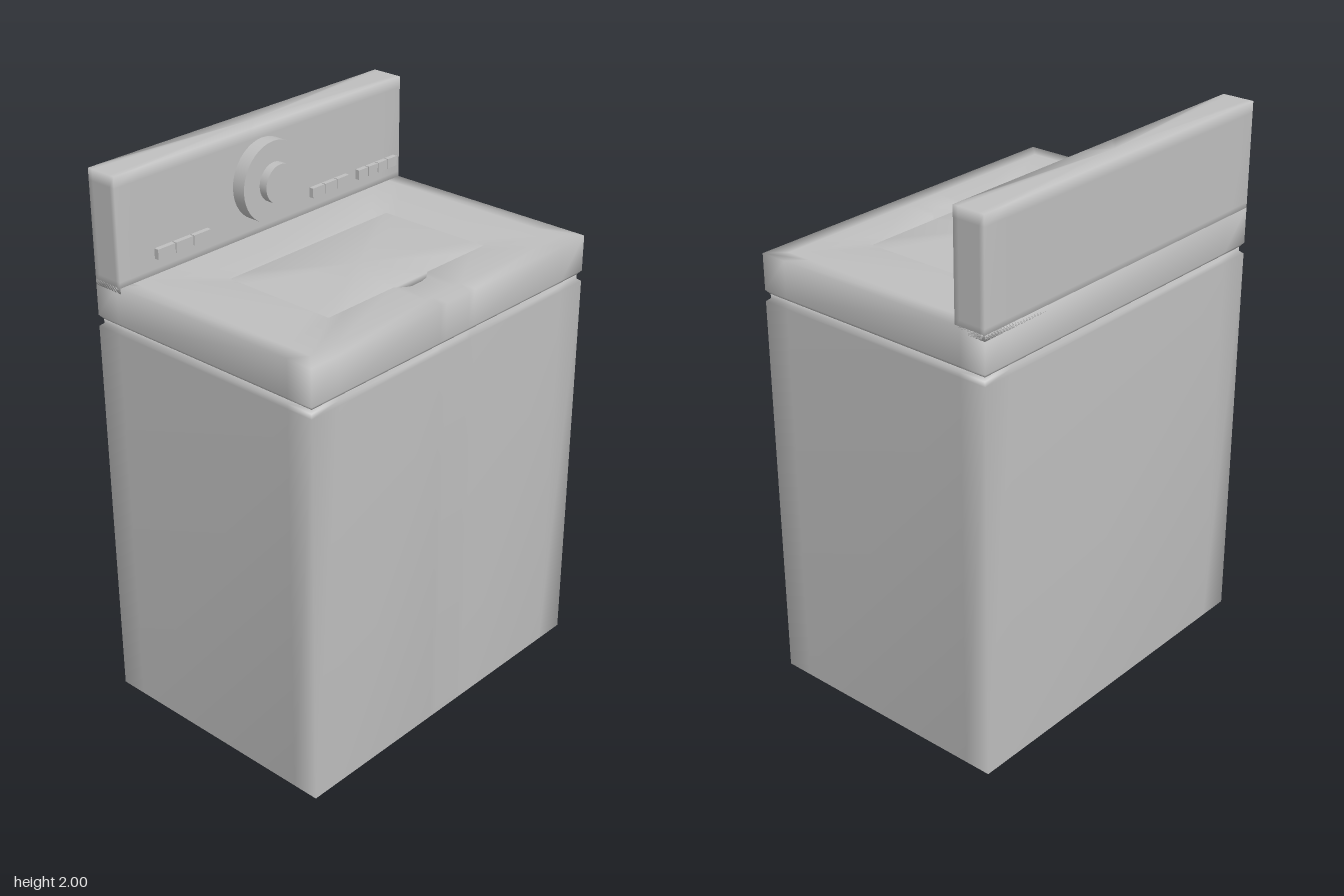
import * as THREE from 'three';

const enamel = new THREE.MeshStandardMaterial({ color: 0xbfbfbf });
enamel.name = 'grey enamel';

// Rectangular cross-section; extra points beside the corners keep soft shading near the edges.
// bulge pushes the middle of the +x side outward (finger notch).
function ring(x0, x1, z0, z1, y, insetX = 0.1, insetZ = 0.12, bulge = 0) {
  const p = [[x1, z1], [x1, z1 - insetZ]];
  for (let i = 0; i <= 6; i++) {
    const t = i / 3 - 1;
    p.push([x1 + bulge * (1 - t * t), -t * 0.085]);
  }
  p.push([x1, z0 + insetZ], [x1, z0], [x1 - insetX, z0], [x0 + insetX, z0], [x0, z0],
    [x0, z0 + insetZ], [x0, z1 - insetZ], [x0, z1], [x0 + insetX, z1], [x1 - insetX, z1]);
  return p.map(([x, z]) => [x, y, z]);
}

// Skin a stack of rings from bottom to top and close both ends.
function loft(rings) {
  const n = rings[0].length, pos = [], idx = [];
  rings.forEach(r => r.forEach(p => pos.push(...p)));
  for (let j = 0; j < rings.length - 1; j++) {
    for (let i = 0; i < n; i++) {
      const k = (i + 1) % n, a = j * n + i, b = j * n + k;
      idx.push(a, b, b + n, a, b + n, a + n);
    }
  }
  const center = r => [(r[0][0] + r[n - 8][0]) / 2, r[0][1], 0];
  const last = rings.length - 1, c = rings.length * n;
  const first = rings[0], top = rings[last];
  const midX = r => (Math.min(...r.map(p => p[0])) + r[0][0]) / 2;
  pos.push(midX(first), center(first)[1], 0, midX(top), center(top)[1], 0);
  for (let i = 0; i < n; i++) {
    const k = (i + 1) % n;
    idx.push(c, k, i, c + 1, last * n + i, last * n + k);
  }
  const g = new THREE.BufferGeometry();
  g.setAttribute('position', new THREE.Float32BufferAttribute(pos, 3));
  g.setIndex(idx);
  g.computeVertexNormals();
  return g;
}

export function createModel() {
  const model = new THREE.Group();
  model.name = 'washingMachine';
  const add = (name, geometry, x = 0, y = 0, z = 0) => {
    const mesh = new THREE.Mesh(geometry, enamel);
    mesh.name = name;
    mesh.position.set(x, y, z);
    model.add(mesh);
    return mesh;
  };
  const W = 0.48, D = 0.68;
  const full = (y, s = 0) => ring(-W + s, W - s, -D + s, D - s, y);

  // Cabinet with a narrow neck below the top deck
  add('cabinet', loft([full(0, 0.08), full(0), full(1.45), full(1.46, 0.012), full(1.48, 0.012)]));

  // Top deck with a shallow opening and finger notch
  add('topDeck', loft([
    full(1.475, 0.012), full(1.49), full(1.62), full(1.62, 0.06),
    ring(-0.175, 0.28, -0.4, 0.39, 1.62, 0.06, 0.08, 0.045),
    ring(-0.17, 0.275, -0.395, 0.385, 1.59, 0.06, 0.08),
  ]));

  // Lid set into the opening
  add('lid', loft([
    ring(-0.168, 0.273, -0.393, 0.383, 1.58, 0.06, 0.08),
    ring(-0.168, 0.273, -0.393, 0.383, 1.612, 0.06, 0.08),
  ]));

  // Upright control panel along the back
  const panel = y => ring(-W, -0.36, -D, D, y, 0.02, 0.1);
  add('controlPanel', loft([panel(1.6), panel(1.64), panel(1.96), panel(2)]));

  // Dial and its knob, facing +x
  const disc = (name, r, x0, x1) => {
    add(name, new THREE.CylinderGeometry(r, r, x1 - x0, 40), (x0 + x1) / 2, 1.812, 0.024)
      .rotation.z = -Math.PI / 2;
  };
  disc('dialBase', 0.144, -0.365, -0.308);
  disc('dialKnob', 0.07, -0.31, -0.276);

  // Rows of push buttons: start z, end z, count
  for (const [z0, z1, count] of [[0.53, 0.29, 3], [-0.2, -0.39, 3], [-0.44, -0.65, 4]]) {
    const step = (z1 - z0) / count;
    for (let i = 0; i < count; i++) {
      add('pushButton', new THREE.BoxGeometry(0.025, 0.036, Math.abs(step) - 0.004),
        -0.3545, 1.694, z0 + step * (i + 0.5));
    }
  }
  return model;
}
